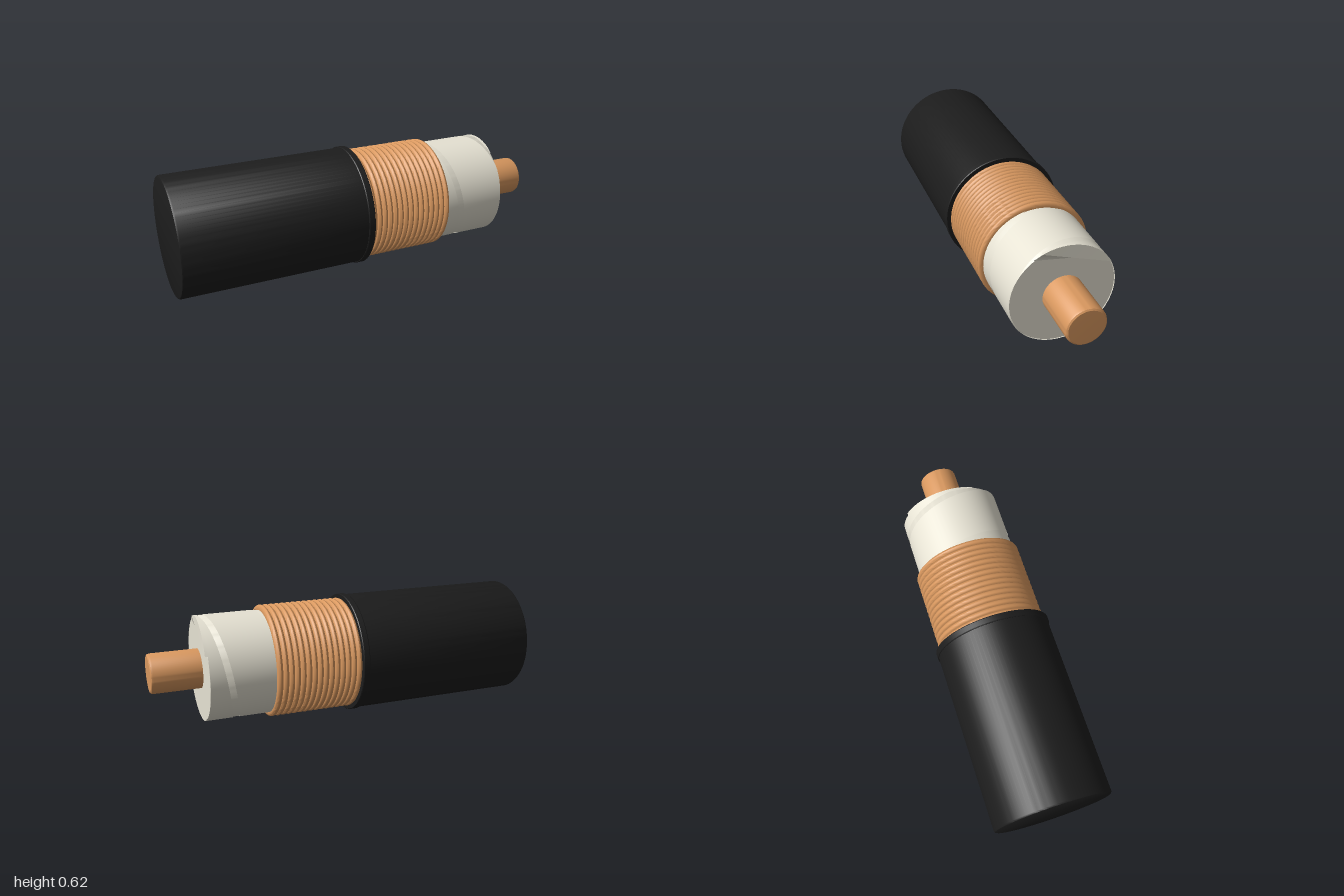
import * as THREE from 'three';
import { toCreasedNormals } from 'three/addons/utils/BufferGeometryUtils.js';

const material = (color) => new THREE.MeshStandardMaterial({ color, side: THREE.DoubleSide });

// Turned part along +x; profile is a list of [position along axis, radius]
function turned(name, profile, mat, segments = 96) {
  const points = profile.map(([s, r]) => new THREE.Vector2(r, s));
  const geometry = new THREE.LatheGeometry(points, segments);
  geometry.rotateZ(-Math.PI / 2);
  const mesh = new THREE.Mesh(toCreasedNormals(geometry, 0.6), mat);
  mesh.name = name;
  return mesh;
}

// Point on a cylinder round the x axis, angle 0 at the top, quarter turn at +z
const onCylinder = (s, r, a) => [s, r * Math.cos(a), r * Math.sin(a)];

// Surface between two rows of points
function strip(name, rowA, rowB, mat) {
  const index = [];
  const n = rowA.length;
  for (let i = 0; i < n - 1; i++) index.push(i, n + i, i + 1, n + i, n + i + 1, i + 1);
  const geometry = new THREE.BufferGeometry();
  geometry.setAttribute('position', new THREE.Float32BufferAttribute([...rowA, ...rowB].flat(), 3));
  geometry.setIndex(index);
  geometry.computeVertexNormals();
  const mesh = new THREE.Mesh(geometry, mat);
  mesh.name = name;
  return mesh;
}

export function createModel() {
  const cable = new THREE.Group();
  cable.name = 'cable';
  const black = material(0x1c1c1c);
  const copper = material(0xd9985f);
  const ivory = material(0xe6e2d3);

  // Outer jacket with a slightly softened rear edge and a thin collar
  cable.add(turned('jacket', [
    [-0.99, 0], [-0.99, 0.293], [-0.987, 0.3], [-0.98, 0.304], [-0.03, 0.304], [-0.03, 0],
  ], black));
  cable.add(turned('jacketCollar', [
    [-0.055, 0.29], [-0.055, 0.307], [-0.051, 0.31], [-0.024, 0.31], [-0.02, 0.307], [-0.02, 0.26],
  ], black));

  // Wound copper shield: a row of rounded ridges
  const ridges = 15, start = -0.025, end = 0.42;
  const pitch = (end - start) / ridges;
  const shield = [[start, 0.255]];
  for (let i = 0; i < ridges; i++) {
    for (let j = i ? 1 : 0; j <= 6; j++) {
      const a = Math.PI * j / 6;
      shield.push([
        start + pitch * (i + 0.5 - 0.5 * Math.cos(a)),
        0.27 + 0.019 * Math.sin(a),
      ]);
    }
  }
  shield.push([end, 0.255]);
  cable.add(turned('copperShield', shield, copper));

  // Inner insulation
  const face = 0.745, tapeRadius = 0.266;
  cable.add(turned('insulation', [
    [0.38, 0], [0.38, 0.263], [face - 0.003, 0.263], [face, 0.261], [face, 0],
  ], ivory));

  // Helical tape wrap, trimmed at the shield and at the end face
  const trim = (s) => THREE.MathUtils.clamp(s, 0.41, face);
  const early = [], late = [];
  for (let i = 0; i <= 192; i++) {
    const a = -2 * Math.PI + i * 6 * Math.PI / 192;
    const s = 0.445 + 0.29 * a / (2 * Math.PI);
    early.push(onCylinder(trim(s), tapeRadius, a));
    late.push(onCylinder(trim(s + 0.257), tapeRadius, a));
  }
  cable.add(strip('tapeWrap', early, late, ivory));

  // Loose tape end: a curved lip, its flat front and the twisted edge below
  const from = 0.41, to = -1.07, steps = 24;
  const lipBase = [], lipEdge = [], chord = [];
  const first = onCylinder(face + 0.003, tapeRadius, from);
  const last = onCylinder(face + 0.013, tapeRadius, to);
  for (let i = 0; i <= steps; i++) {
    const t = i / steps;
    const a = THREE.MathUtils.lerp(from, to, t);
    lipBase.push(onCylinder(face - 0.01, tapeRadius, a));
    lipEdge.push(onCylinder(face + 0.003 + 0.01 * t, tapeRadius, a));
    chord.push(first.map((v, k) => THREE.MathUtils.lerp(v, last[k], t)));
  }
  const baseEnds = [onCylinder(face, tapeRadius, 0.59), onCylinder(face, tapeRadius, -0.92)];
  cable.add(strip('tapeLip', lipBase, lipEdge, ivory));
  cable.add(strip('tapeLipFront', lipEdge, chord, ivory));
  cable.add(strip('tapeLipEdge', baseEnds, [first, last], ivory));

  // Solid centre conductor
  cable.add(turned('conductor', [
    [0.72, 0], [0.72, 0.1], [0.982, 0.1], [0.991, 0.097], [0.996, 0.09], [0.997, 0],
  ], copper, 64));

  // Slight yaw of the whole cable
  cable.rotation.y = -0.035;
  cable.position.set(0, 0.31, 0.012);
  const model = new THREE.Group();
  model.name = 'strippedCable';
  model.add(cable);
  return model;
}
